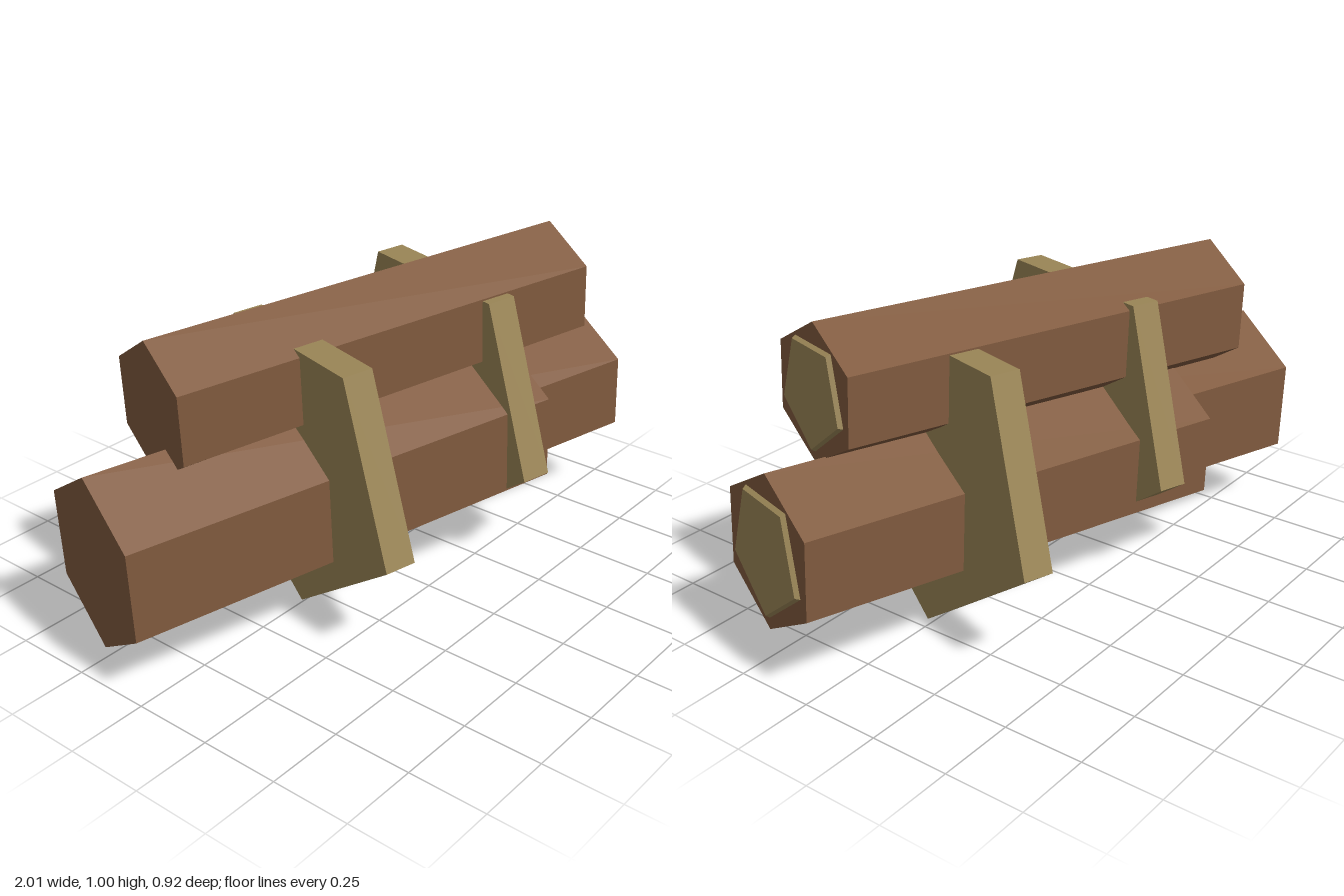
import * as THREE from 'three';

const bark = new THREE.MeshStandardMaterial({ color: 0x805a3e });
bark.name = 'bark brown';
const cutWood = new THREE.MeshStandardMaterial({ color: 0x9a8556 });
cutWood.name = 'cut wood tan';

const YAW = -0.265, TILT = 0.04, LENGTH = 1.478;

// Faceted prism along x with a corner pointing down; squash narrows z at each end
function prism(sides, rRight, rLeft, length, squashRight = 1, squashLeft = squashRight) {
  const geo = new THREE.CylinderGeometry(rRight, rLeft, length, sides, 1, false, Math.PI / 2)
    .rotateZ(-Math.PI / 2).toNonIndexed();
  const p = geo.attributes.position;
  for (let i = 0; i < p.count; i++) {
    const t = p.getX(i) / length + 0.5;
    p.setZ(i, p.getZ(i) * THREE.MathUtils.lerp(squashLeft, squashRight, t));
  }
  geo.computeVertexNormals();
  return geo;
}

function part(name, geo, material) {
  const mesh = new THREE.Mesh(geo, material);
  mesh.name = name;
  return mesh;
}

// Turns a part to the shared direction of the pile
function place(object, x, y, z) {
  object.position.set(x, y, z);
  object.rotation.set(0, YAW, TILT);
  return object;
}

// Six-sided log with a raised five-sided cut face on its right-hand end
function log(name, radius) {
  const group = new THREE.Group();
  group.name = name;
  group.add(part('logBody', prism(6, radius, radius * 1.045, LENGTH, 1, 0.9), bark));
  const cap = part('cutFace', prism(5, radius * 0.805, radius * 0.85, 0.014, 0.92), cutWood);
  cap.position.x = LENGTH / 2 + 0.006;
  group.add(cap);
  return group;
}

export function createModel() {
  const model = new THREE.Group();
  model.name = 'logPile';

  // Three stacked logs
  model.add(place(log('topLog', 0.206), 0.017, 0.766, -0.021));
  model.add(place(log('backLog', 0.24), 0.23, 0.363, -0.021));
  model.add(place(log('frontLog', 0.27), -0.233, 0.381, -0.021));

  // Two five-sided braces that hold the logs
  for (const [name, x] of [['rightBrace', -0.286], ['leftBrace', 0.4]]) {
    model.add(place(part(name, prism(5, 0.485, 0.485, 0.098), cutWood), x, 0.487, 0));
  }
  return model;
}
